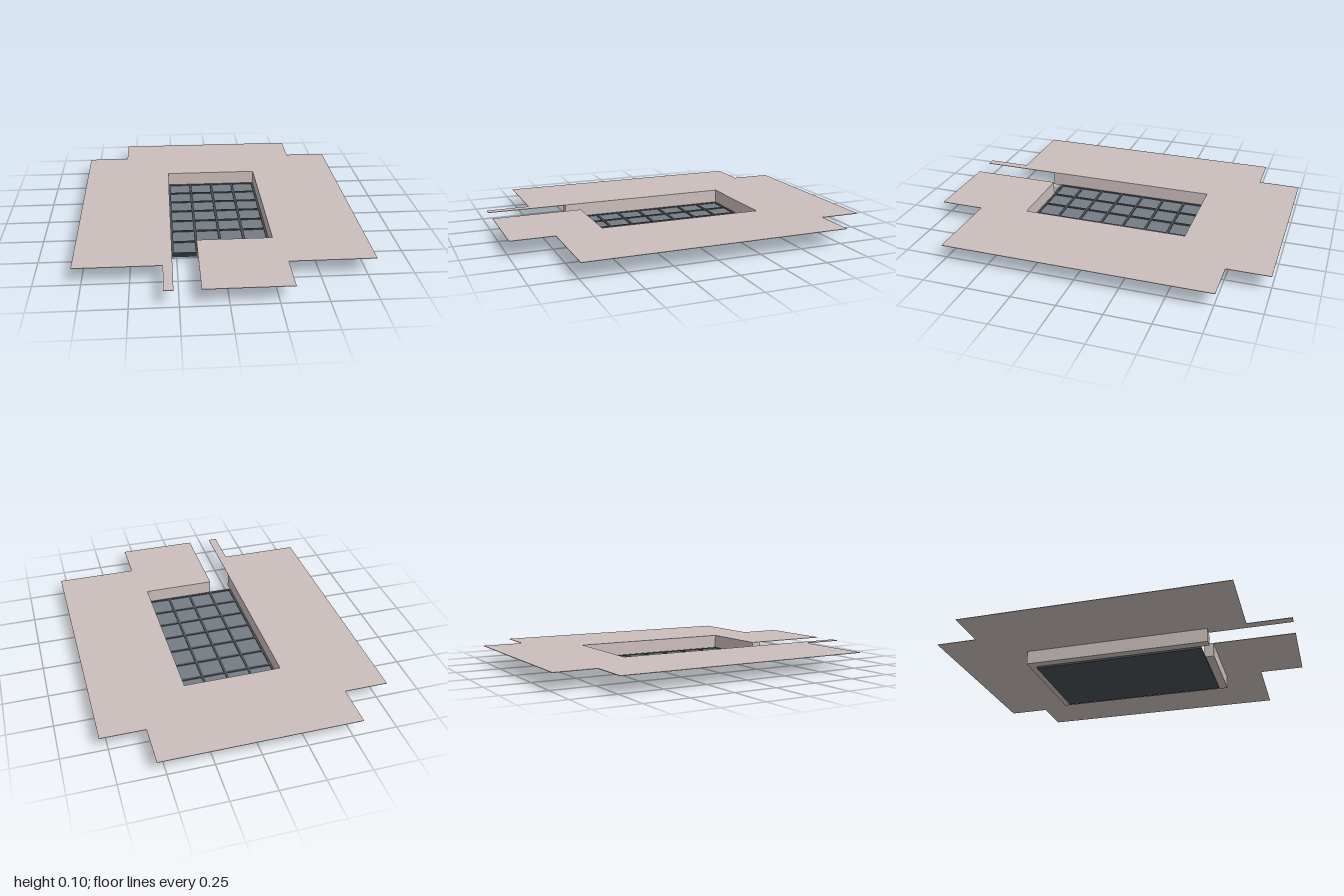
import * as THREE from 'three';

const stone = new THREE.MeshStandardMaterial({ color: 0xcabebc });
stone.name = 'pale stone';
const metal = new THREE.MeshStandardMaterial({ color: 0x4a4f55 });
metal.name = 'dark metal';
const glass = new THREE.MeshStandardMaterial({ color: 0x747c85 });
glass.name = 'grey glass';

// Opening and the slot that leads out of its front edge
const OX = 0.277, OZ = 0.478, SLOT = -0.14;

// Extrudes an [x, z] outline between two heights
function slab(name, points, y0, y1) {
  const shape = new THREE.Shape(points.map(([x, z]) => new THREE.Vector2(x, -z)));
  const geo = new THREE.ExtrudeGeometry(shape, { depth: y1 - y0, bevelEnabled: false });
  geo.rotateX(-Math.PI / 2);
  geo.translate(0, y0, 0);
  const mesh = new THREE.Mesh(geo, stone);
  mesh.name = name;
  return mesh;
}

function box(name, mat, w, h, d, x, y, z) {
  const mesh = new THREE.Mesh(new THREE.BoxGeometry(w, h, d), mat);
  mesh.name = name;
  mesh.position.set(x, y, z);
  return mesh;
}

// Inner edge of the opening, entered and left through the slot
const inner = (zFront) => [
  [SLOT, zFront], [SLOT, OZ], [OX, OZ], [OX, -OZ], [-OX, -OZ], [-OX, zFront],
];

export function createModel() {
  const group = new THREE.Group();
  group.name = 'recessedGridPanel';

  // Thin stepped floor sheet with slot and opening
  group.add(slab('floorSheet', [
    ...inner(1), [-0.327, 1], [-0.327, 0.75], [-0.795, 0.75], [-0.795, -0.76],
    [-0.55, -0.76], [-0.55, -1], [0.547, -1], [0.547, -0.76],
    [0.792, -0.76], [0.792, 0.75], [0.325, 0.75], [0.325, 1],
  ], 0.094, 0.097));

  // Wall around the pit, cut through at the slot
  group.add(slab('pitWall', [
    ...inner(0.534), [-0.33, 0.534], [-0.33, -0.534], [0.328, -0.534], [0.328, 0.534],
  ], 0.014, 0.0945));

  // Base tray and glazed bed
  group.add(box('baseTray', metal, 0.57, 0.01, 0.976, 0, 0.005, 0));
  group.add(box('glassBed', glass, 0.55, 0.003, 0.952, 0, 0.0115, 0));

  // Raised grid: 4 columns by 7 rows
  const grid = new THREE.Group();
  grid.name = 'gridBars';
  for (let i = 0; i <= 4; i++) {
    grid.add(box('longBar', metal, 0.014, 0.008, 0.956, -0.272 + i * 0.136, 0.014, 0));
  }
  for (let j = 0; j <= 7; j++) {
    grid.add(box('crossBar', metal, 0.552, 0.0078, 0.014, 0, 0.0139, -0.473 + j * 0.946 / 7));
  }
  group.add(grid);
  return group;
}
